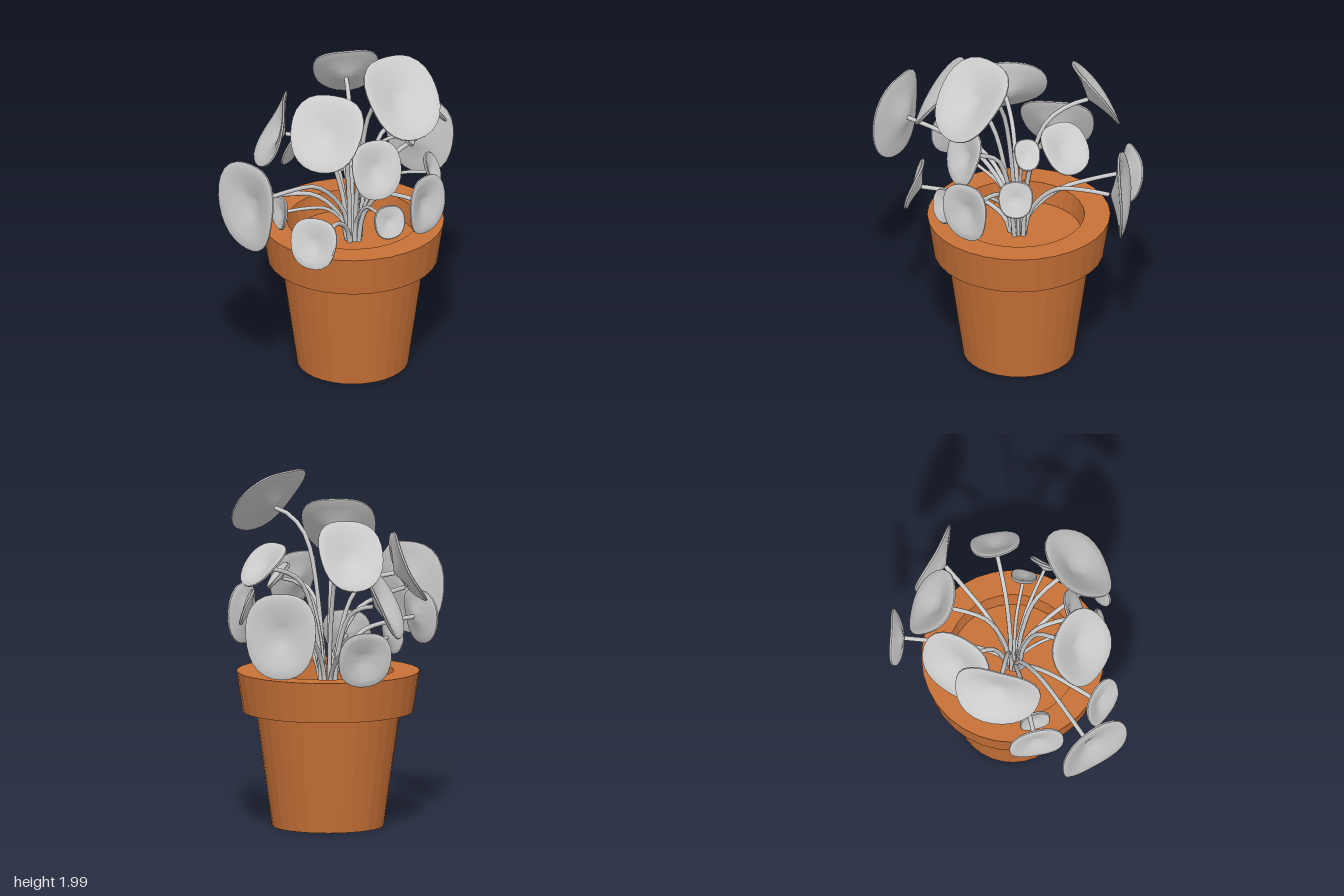
import * as THREE from 'three';
import { toCreasedNormals } from 'three/addons/utils/BufferGeometryUtils.js';

const POT = new THREE.Vector3(0.075, 0, -0.022);
const SOIL_Y = 0.76;

// Round shield leaf: dished toward the stem, gently waved, closed thin shell facing +z.
function leafGeometry(w, h) {
  const seg = 28, size = Math.max(w, h), t = 0.009;
  const depth = size * 0.13;
  const wave = w > h ? -0.05 : 0.03; // wide leaves fold back at the sides
  const radii = [0.02, 0.25, 0.5, 0.75, 0.95, 1];
  const rings = [...radii.map((r) => [r, t]), ...radii.map((r) => [r, -t]).reverse()];
  const pos = [], index = [];
  for (const [r, side] of rings) {
    for (let j = 0; j < seg; j++) {
      const a = (j / seg) * Math.PI * 2;
      const edge = r * (1 - 0.03 * Math.cos(4 * a) + 0.025 * Math.sin(3 * a));
      const dish = -depth * Math.pow(1 - r, 1.4);
      const ripple = wave * size * r * r * Math.cos(2 * a + 0.4);
      pos.push(edge * Math.cos(a) * w / 2, edge * Math.sin(a) * h / 2,
        dish + ripple + (r === 1 ? side / 2 : side));
    }
  }
  for (let i = 0; i < rings.length - 1; i++) {
    for (let j = 0; j < seg; j++) {
      const k = (j + 1) % seg;
      const a = i * seg + j, b = i * seg + k, c = a + seg, d = b + seg;
      index.push(a, c, b, b, c, d);
    }
  }
  // Close both centres
  const last = (rings.length - 1) * seg;
  for (let j = 1; j < seg - 1; j++) {
    index.push(0, j, j + 1, last, last + j + 1, last + j);
  }
  const geo = new THREE.BufferGeometry();
  geo.setAttribute('position', new THREE.Float32BufferAttribute(pos, 3));
  geo.setIndex(index);
  return { geo: toCreasedNormals(geo, 0.7), depth };
}

// Stem rises steeply near the middle, then bends out to the back of the leaf.
function stemGeometry(base, tip, radius) {
  const at = (out, rise) => new THREE.Vector3(
    THREE.MathUtils.lerp(base.x, tip.x, out),
    THREE.MathUtils.lerp(base.y, tip.y, rise),
    THREE.MathUtils.lerp(base.z, tip.z, out));
  const curve = new THREE.CatmullRomCurve3([base, at(0.08, 0.45), at(0.36, 0.86), at(0.7, 0.97), tip]);
  return new THREE.TubeGeometry(curve, 14, radius, 8, false);
}

// Leaves face away from the pot axis: x, y, z, upward lean (sine), width, height, optional turn
const LEAVES = [
  [0.01, 1.03, -0.68, -0.2, 0.32, 0.33],
  [0.345, 1.82, 0.31, 0.68, 0.45, 0.52, 0.13],
  [-0.08, 1.64, 0.4, 0.6, 0.43, 0.46],
  [-0.53, 1.26, 0.55, 0.05, 0.44, 0.54],
  [-0.51, 1.14, 0.22, 0.1, 0.32, 0.32],
  [-0.155, 1.01, 0.53, 0.3, 0.28, 0.3],
  [-0.34, 1.03, 0.18, 0.1, 0.18, 0.2],
  [-0.37, 1.45, -0.03, 0.4, 0.5, 0.43],
  [-0.19, 1.3, -0.3, 0.45, 0.43, 0.45, -0.41],
  [0.045, 1.6, -0.48, 0.56, 0.38, 0.455],
  [0.46, 1.16, -0.54, 0.05, 0.41, 0.5, -0.31],
  [0.49, 1.525, -0.2, 0.7, 0.29, 0.32],
  [0.36, 1.43, -0.01, 0.65, 0.15, 0.19],
  [0.52, 1.24, 0.09, 0.35, 0.2, 0.22],
  [0.48, 1.17, 0.37, 0.02, 0.29, 0.36],
  [0.27, 1.1, 0.45, 0.25, 0.19, 0.2],
  [0.2, 1.365, 0.32, 0.32, 0.3, 0.35],
];

export function createModel() {
  const model = new THREE.Group();
  model.name = 'pottedPlant';

  const clay = new THREE.MeshStandardMaterial({ color: 0xc87137, flatShading: true });
  const grey = new THREE.MeshStandardMaterial({ color: 0xcccccc });

  // Pot: recessed foot, tapering body, collar, and inner floor
  const profile = [[0, 0.05], [0.275, 0.05], [0.28, 0], [0.315, 0], [0.405, 0.65], [0.48, 0.65],
    [0.515, 0.88], [0.37, 0.88], [0.355, SOIL_Y], [0, SOIL_Y]].map(([r, y]) => new THREE.Vector2(r, y));
  const pot = new THREE.Mesh(new THREE.LatheGeometry(profile, 32), clay);
  pot.name = 'pot';
  pot.position.copy(POT);
  model.add(pot);

  // Stems and leaves
  LEAVES.forEach(([x, y, z, lean, w, h, turn = 0], i) => {
    const outward = Math.atan2(z - POT.z, x - POT.x);
    const flat = Math.sqrt(1 - lean * lean);
    const normal = new THREE.Vector3(
      flat * Math.cos(outward + turn), lean, flat * Math.sin(outward + turn));
    const right = new THREE.Vector3(0, 1, 0).cross(normal).normalize();
    const up = normal.clone().cross(right);

    const { geo, depth } = leafGeometry(w, h);
    const leaf = new THREE.Mesh(geo, grey);
    leaf.name = 'leaf' + (i + 1);
    leaf.position.set(x, y, z);
    leaf.quaternion.setFromRotationMatrix(new THREE.Matrix4().makeBasis(right, up, normal));

    const tip = leaf.position.clone().addScaledVector(normal, -depth - 0.008);
    const spread = 0.02 + 0.012 * (i % 3);
    const base = new THREE.Vector3(
      POT.x + Math.cos(outward) * spread, SOIL_Y - 0.02, POT.z + Math.sin(outward) * spread);
    const stem = new THREE.Mesh(stemGeometry(base, tip, w > 0.25 ? 0.013 : 0.01), grey);
    stem.name = 'stem' + (i + 1);
    model.add(leaf, stem);
  });

  return model;
}
